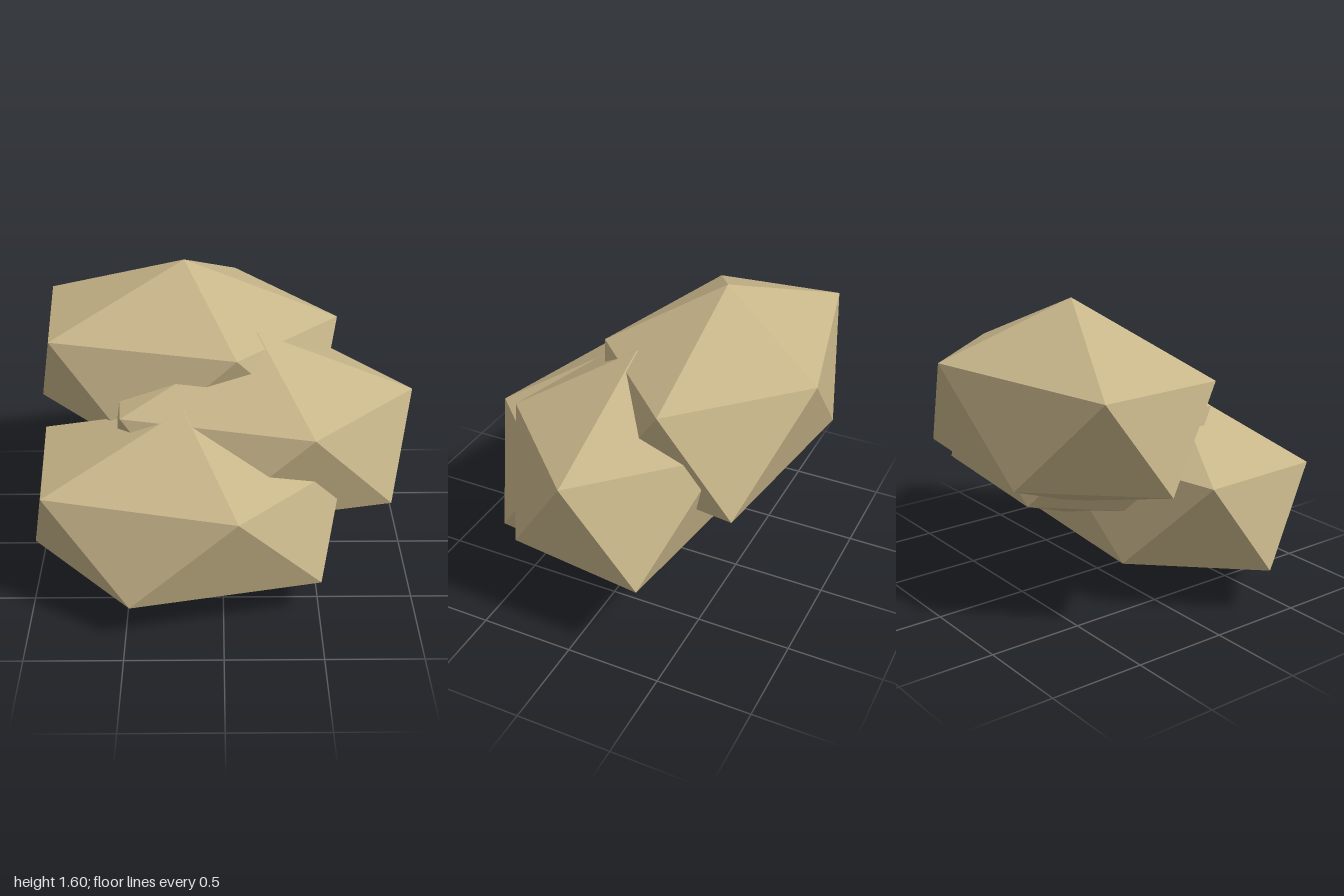
import * as THREE from 'three';

// Faceted boulder: two staggered five-point rings between a top and a bottom point
function boulderGeometry() {
  const top = [-0.2, 1.06, 0.34];
  const bottom = [-0.21, 0, 0.34];
  const upper = [
    [0.62, 0.728, 0.34], [0.07, 0.743, 0.905], [-0.9, 0.737, 0.667],
    [-0.95, 0.753, -0.02], [0.08, 0.763, -0.257],
  ];
  const lower = [
    [0.5, 0.233, 0.68], [-0.47, 0.235, 0.885], [-1, 0.255, 0.335],
    [-0.47, 0.245, -0.19], [0.565, 0.207, -0.035],
  ];
  const corners = [];
  for (let i = 0; i < 5; i++) {
    const j = (i + 1) % 5;
    corners.push(top, upper[j], upper[i]);
    corners.push(upper[i], upper[j], lower[i]);
    corners.push(lower[i], upper[j], lower[j]);
    corners.push(bottom, lower[i], lower[j]);
  }
  const geometry = new THREE.BufferGeometry();
  geometry.setAttribute('position', new THREE.Float32BufferAttribute(corners.flat(), 3));
  geometry.computeVertexNormals();
  return geometry;
}

export function createModel() {
  const group = new THREE.Group();
  group.name = 'rockPile';
  const sandstone = new THREE.MeshStandardMaterial({ color: 0xc8b68a, flatShading: true });
  sandstone.name = 'sandstone';
  const geometry = boulderGeometry();

  // Three equal boulders stacked in rising steps towards the back
  const boulders = [
    ['frontBoulder', 0, 0, 0],
    ['middleBoulder', 0.38, 0.268, -0.325],
    ['backBoulder', 0, 0.537, -0.65],
  ];
  for (const [name, x, y, z] of boulders) {
    const boulder = new THREE.Mesh(geometry, sandstone);
    boulder.name = name;
    boulder.position.set(x, y, z);
    group.add(boulder);
  }
  return group;
}
